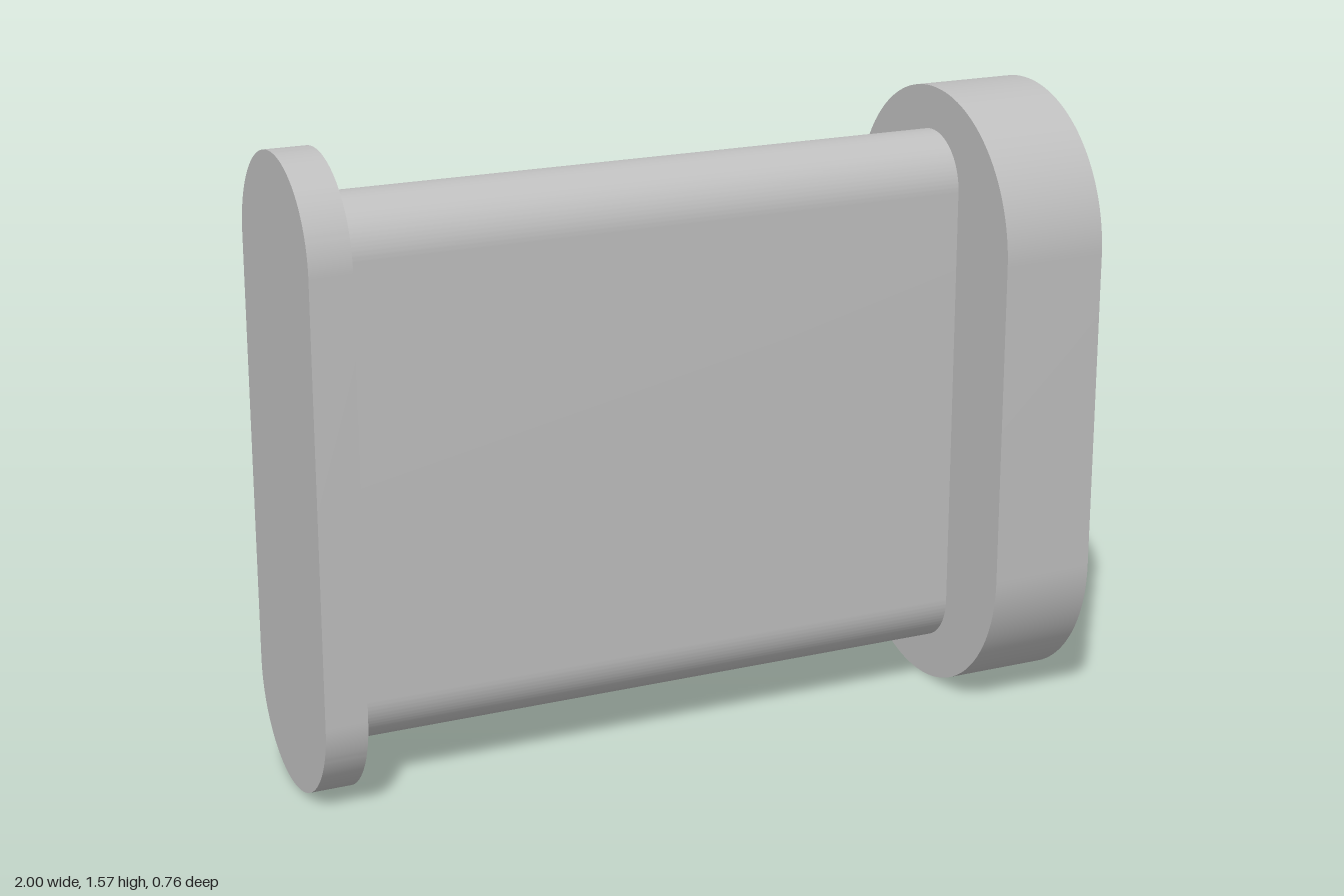
import * as THREE from 'three';
import { toCreasedNormals } from 'three/addons/utils/BufferGeometryUtils.js';

const HEIGHT = 1.57;

// Upright slot-shaped prism running along x from x0 to x1
function slotPrism(name, x0, x1, radius, height, material) {
  const h = height / 2 - radius;
  const shape = new THREE.Shape();
  shape.absarc(0, h, radius, 0, Math.PI, false);
  shape.absarc(0, -h, radius, Math.PI, Math.PI * 2, false);
  shape.closePath();
  const extruded = new THREE.ExtrudeGeometry(shape, {
    depth: x1 - x0, bevelEnabled: false, curveSegments: 40,
  });
  extruded.rotateY(Math.PI / 2);
  extruded.translate(x0, HEIGHT / 2, 0);
  const mesh = new THREE.Mesh(toCreasedNormals(extruded, 0.5), material);
  mesh.name = name;
  return mesh;
}

export function createModel() {
  const group = new THREE.Group();
  group.name = 'flangedSpacer';
  const grey = new THREE.MeshStandardMaterial({ color: 0xbfbfbf });
  grey.name = 'light grey';

  group.add(
    slotPrism('thinFlange', -1, -0.895, 0.243, HEIGHT, grey),
    slotPrism('body', -0.895, 0.73, 0.135, 1.353, grey),
    slotPrism('thickFlange', 0.73, 1, 0.378, HEIGHT, grey),
  );
  return group;
}
